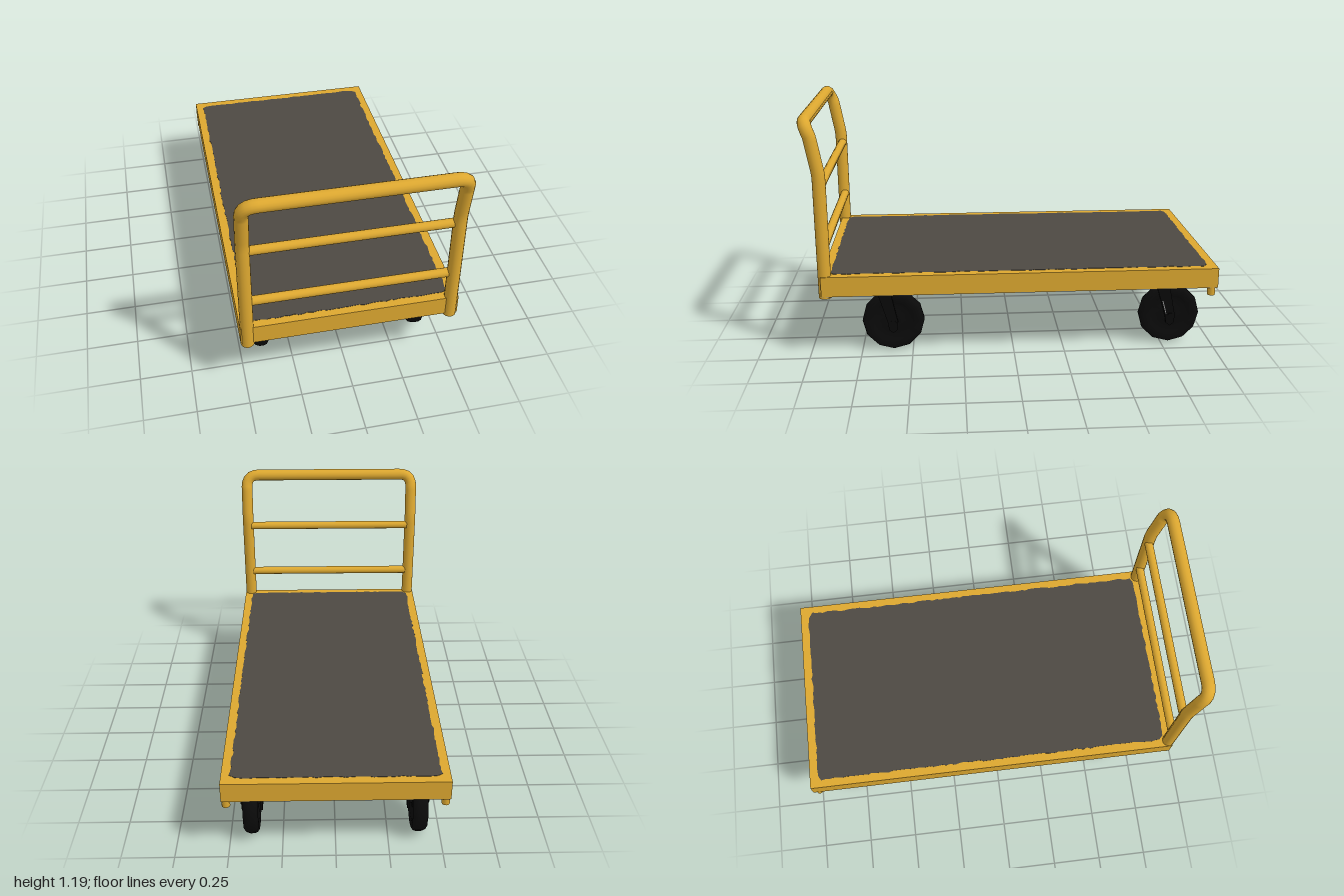
import * as THREE from 'three';

const material = (name, color, side = THREE.FrontSide) => {
  const m = new THREE.MeshStandardMaterial({ color, side });
  m.name = name;
  return m;
};

export function createModel() {
  const yellow = material('yellow paint', 0xdda830, THREE.DoubleSide);
  const matGrey = material('mat grey', 0x4d4943);
  const underGrey = material('underside grey', 0x9c9c9c);
  const black = material('black rubber', 0x0a0a0a);
  const cart = new THREE.Group();
  cart.name = 'platformCart';

  const add = (parent, name, geometry, mat, x = 0, y = 0, z = 0) => {
    const mesh = new THREE.Mesh(geometry, mat);
    mesh.name = name;
    mesh.position.set(x, y, z);
    parent.add(mesh);
    return mesh;
  };
  const rod = (r, length, sides = 16) =>
    new THREE.CylinderGeometry(r, r, length, sides).rotateZ(Math.PI / 2);

  // Deck with a grey underside
  add(cart, 'deck', new THREE.BoxGeometry(1.036, 0.098, 1.925), yellow, 0, 0.378, -0.0375);
  add(cart, 'underside', new THREE.BoxGeometry(1.03, 0.003, 1.919), underGrey, 0, 0.3275, -0.0375);

  // Mat with a slightly ragged outline
  let seed = 7;
  const jitter = () => {
    seed = (seed * 16807) % 2147483647;
    return (seed / 2147483647 - 0.5) * 0.009;
  };
  const [hx, z0, z1, cut] = [0.477, -0.957, 0.885, 0.02];
  const corners = [
    [-hx, z0 + cut], [-hx + cut, z0], [hx - cut, z0], [hx, z0 + cut],
    [hx, z1 - cut], [hx - cut, z1], [-hx + cut, z1], [-hx, z1 - cut],
  ];
  const outline = [];
  corners.forEach(([ax, az], i) => {
    const [bx, bz] = corners[(i + 1) % corners.length];
    const steps = Math.max(1, Math.round(Math.hypot(bx - ax, bz - az) / 0.022));
    for (let k = 0; k < steps; k++) {
      const t = k / steps;
      outline.push(new THREE.Vector2(ax + (bx - ax) * t + jitter(), -(az + (bz - az) * t) + jitter()));
    }
  });
  const matGeometry = new THREE.ExtrudeGeometry(new THREE.Shape(outline), { depth: 0.003, bevelEnabled: false });
  add(cart, 'mat', matGeometry.rotateX(-Math.PI / 2), matGrey, 0, 0.4255, 0);

  // Bent push handle, one open-ended tube
  const v = (x, y, z) => new THREE.Vector3(x, y, z);
  const half = (s) => [
    v(s * 0.485, 0.316, 0.909), v(s * 0.485, 0.90, 0.909), v(s * 0.485, 0.93, 0.91),
    v(s * 0.485, 0.96, 0.916), v(s * 0.485, 1.10, 0.941), v(s * 0.485, 1.164, 0.967),
    v(s * 0.42, 1.164, 0.968),
  ];
  const path = new THREE.CurvePath();
  const a = half(-1), b = half(1).reverse();
  path.add(new THREE.LineCurve3(a[0], a[1]));
  path.add(new THREE.QuadraticBezierCurve3(a[1], a[2], a[3]));
  path.add(new THREE.LineCurve3(a[3], a[4]));
  path.add(new THREE.QuadraticBezierCurve3(a[4], a[5], a[6]));
  path.add(new THREE.LineCurve3(a[6], b[0]));
  path.add(new THREE.QuadraticBezierCurve3(b[0], b[1], b[2]));
  path.add(new THREE.LineCurve3(b[2], b[3]));
  path.add(new THREE.QuadraticBezierCurve3(b[3], b[4], b[5]));
  path.add(new THREE.LineCurve3(b[5], b[6]));
  add(cart, 'handle', new THREE.TubeGeometry(path, 120, 0.0315, 16), yellow);
  for (const y of [0.574, 0.871]) add(cart, 'crossRail', rod(0.022, 0.93), yellow, 0, y, 0.902);

  // Short posts under the back corners
  for (const s of [-1, 1]) {
    add(cart, 'cornerPost', new THREE.CylinderGeometry(0.0195, 0.0195, 0.06, 12), yellow, s * 0.498, 0.317, -0.972);
  }

  // Rounded tyre with a dished hub, turned around the axle
  const wheelProfile = [
    [0, -0.018], [0.035, -0.03], [0.045, -0.02], [0.09, -0.02], [0.1, -0.031],
    [0.132, -0.036], [0.147, -0.026], [0.153, -0.01], [0.153, 0.01], [0.147, 0.026],
    [0.132, 0.036], [0.1, 0.031], [0.09, 0.02], [0.045, 0.02], [0.035, 0.03], [0, 0.018],
  ].map(([r, h]) => new THREE.Vector2(r, h));
  const wheelGeometry = new THREE.LatheGeometry(wheelProfile, 12).rotateZ(Math.PI / 2);

  // Slanted fork cheek, drawn in the z-y plane about the axle
  const cheek = new THREE.Shape();
  cheek.moveTo(0.085, 0.172);
  cheek.lineTo(0.008, 0.172);
  cheek.lineTo(0.004, 0.135);
  cheek.lineTo(-0.024, 0);
  cheek.lineTo(-0.018, -0.04);
  cheek.lineTo(0, -0.054);
  cheek.lineTo(0.02, -0.04);
  cheek.lineTo(0.026, 0);
  cheek.lineTo(0.066, 0.135);
  const cheekGeometry = new THREE.ExtrudeGeometry(cheek, { depth: 0.011, bevelEnabled: false });
  cheekGeometry.translate(0, 0, -0.0055).rotateY(-Math.PI / 2);

  for (const x of [-0.396, 0.396]) {
    for (const z of [0.593, -0.788]) {
      const caster = new THREE.Group();
      caster.name = 'caster';
      caster.position.set(x, 0.156, z);
      add(caster, 'wheel', wheelGeometry, black);
      add(caster, 'axle', rod(0.015, 0.108, 6), black);
      for (const s of [-1, 1]) {
        add(caster, 'forkCheek', cheekGeometry, black, s * 0.0445);
        // Worn grey sliver on the back forks
        if (z < 0) {
          const sliver = new THREE.BoxGeometry(0.002, 0.07, 0.004).rotateX(0.27);
          add(caster, 'wornSliver', sliver, underGrey, s * 0.0502, 0.045, 0.031);
        }
      }
      add(caster, 'forkTop', new THREE.BoxGeometry(0.1, 0.005, 0.077), black, 0, 0.169, 0.046);
      cart.add(caster);
    }
  }
  return cart;
}
